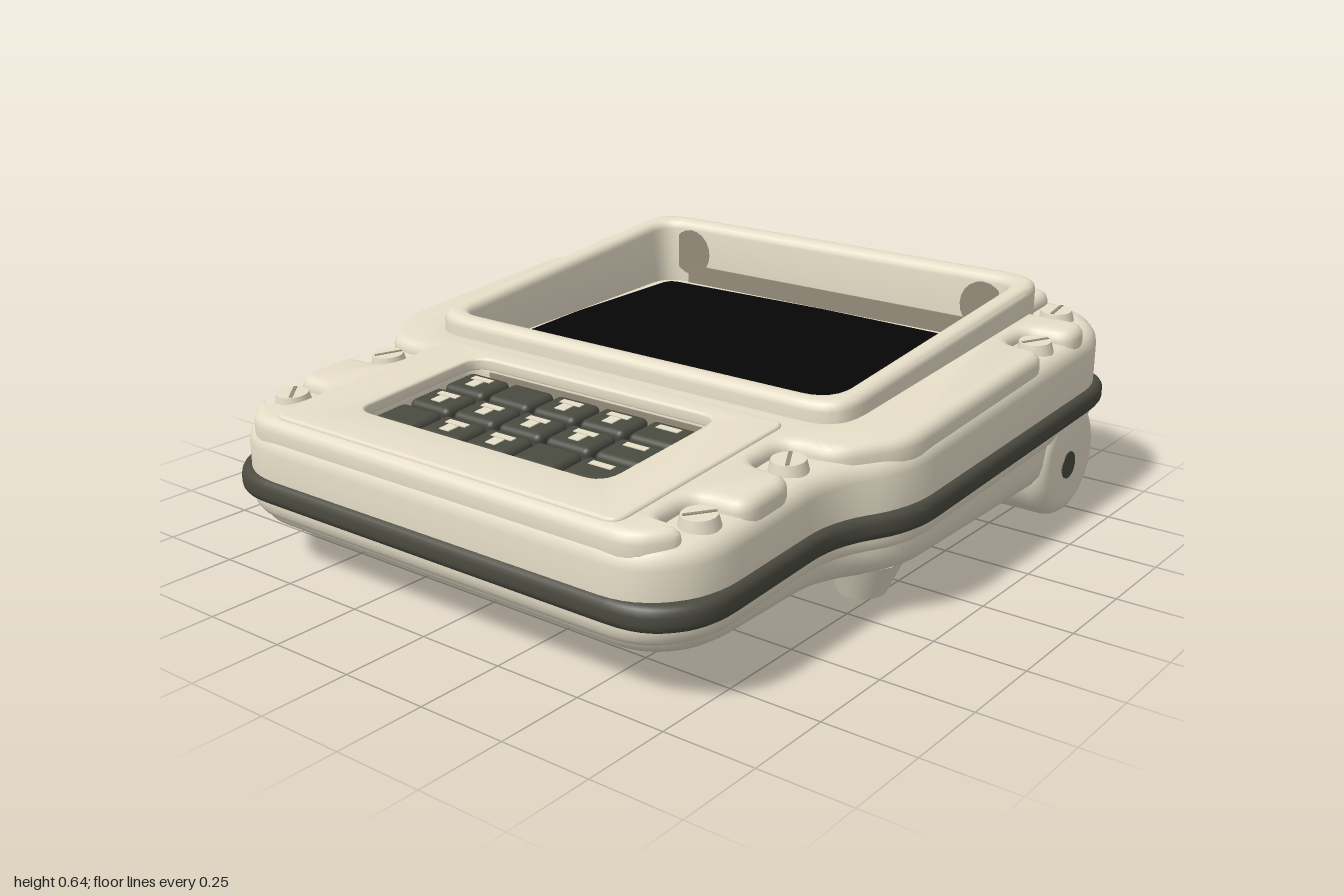
import * as THREE from 'three';
import { toCreasedNormals } from 'three/addons/utils/BufferGeometryUtils.js';
import { RoundedBoxGeometry } from 'three/addons/geometries/RoundedBoxGeometry.js';

const paint = (name, color) => {
  const m = new THREE.MeshStandardMaterial({ color });
  m.name = name;
  return m;
};

// Sloping reference surfaces of the case
const top = z => 0.505 - 0.073 * z;
const seam = z => 0.29 - 0.052 * z;
const bezelTop = z => 0.565 - 0.1 * z;
const screenTop = z => 0.43 - 0.03 * z;
const tilt = Math.atan(0.073);

// Rounded closed path through [x, z] points
function trace(path, pts, r) {
  const v = pts.map(([x, z]) => new THREE.Vector2(x, -z));
  const n = v.length;
  v.forEach((p, i) => {
    const a = v[(i + n - 1) % n], b = v[(i + 1) % n];
    const toward = q => p.clone().lerp(q, Math.min(r / p.distanceTo(q), 0.45));
    const s = toward(a), e = toward(b);
    if (i === 0) path.moveTo(s.x, s.y); else path.lineTo(s.x, s.y);
    path.quadraticCurveTo(p.x, p.y, e.x, e.y);
  });
  path.closePath();
  return path;
}

const mirrored = half => [...half, ...half.map(([x, z]) => [-x, z]).reverse()];
const rect = (x, z0, z1) => mirrored([[x, z0], [x, z1]]);

// Bevelled plate between two sloping surfaces; holes run opposite to the outline
function slab(outline, r, holes, holeR, bevel, low, high) {
  const shape = trace(new THREE.Shape(), outline, r);
  shape.holes = holes.map(h => trace(new THREE.Path(), [...h].reverse(), holeR));
  const g = new THREE.ExtrudeGeometry(shape, {
    depth: 1 - 2 * bevel, bevelThickness: bevel, bevelSize: bevel,
    bevelOffset: -bevel, bevelSegments: 4, curveSegments: 6,
  });
  g.translate(0, 0, bevel).rotateX(-Math.PI / 2);
  const p = g.attributes.position;
  for (let i = 0; i < p.count; i++) {
    const v = p.getY(i), z = p.getZ(i);
    p.setY(i, v < 0.5 ? low(z) + v : high(z) - (1 - v));
  }
  return toCreasedNormals(g, 0.5);
}

// Rounded drum lying along x
function drum(radius, length, round) {
  const pts = [new THREE.Vector2(0, -length / 2)];
  for (const s of [-1, 1]) {
    for (let i = 0; i <= 5; i++) {
      const a = (s < 0 ? i : 5 - i) / 5 * Math.PI / 2;
      pts.push(new THREE.Vector2(radius - round * (1 - Math.sin(a)), s * (length / 2 - round * (1 - Math.cos(a)))));
    }
  }
  pts.push(new THREE.Vector2(0, length / 2));
  return toCreasedNormals(new THREE.LatheGeometry(pts, 32), 0.6).rotateZ(Math.PI / 2);
}

export function createModel() {
  const group = new THREE.Group();
  const beige = paint('case beige', 0xe4dcc6);
  const rubber = paint('dark rubber', 0x4a4a40);
  const keyGrey = paint('key grey', 0x48493f);
  const black = paint('screen black', 0x060607);
  const taupe = paint('taupe', 0x948b79);

  const add = (name, geo, mat, x = 0, y = 0, z = 0, rx = 0, ry = 0, rz = 0) => {
    const m = new THREE.Mesh(geo, mat);
    m.name = name;
    m.position.set(x, y, z);
    m.rotation.set(rx, ry, rz);
    group.add(m);
  };

  const outline = (d, back = -1) => mirrored([
    [0.75 + d, back], [0.9 + d, back + 0.15], [0.9 + d, 0.2],
    [0.78 + d, 0.38], [0.78 + d, 0.86 + d], [0.66 + d, 0.99 + d],
  ]);
  const screenHole = rect(0.645, -0.785, 0.19);
  const wideScreenHole = rect(0.67, -0.81, 0.22);
  const keyHole = rect(0.42, 0.355, 0.805);

  // Case halves and the rubber seal between them
  add('upperShell', slab(outline(-0.005), 0.1, [wideScreenHole, keyHole], 0.06, 0.05,
    z => seam(z) - 0.09, z => top(z) - 0.036), beige);
  add('lowerShell', slab(outline(-0.015, -0.985), 0.1, [], 0, 0.08,
    () => 0.118, z => seam(z) + 0.05), beige);
  add('rubberSeal', slab(mirrored([[0.78, -0.93], [0.85, -0.93], [0.915, -0.85], [0.915, 0.2],
    [0.795, 0.38], [0.795, 0.88], [0.68, 1]]), 0.1, [], 0, 0.025,
    z => seam(z) - 0.035, z => seam(z) + 0.035), rubber);

  // Top deck, notched around the bolts and at the back
  add('topDeck', slab(mirrored([
    [0.4, -0.985], [0.4, -0.83], [0.46, -0.83], [0.46, -0.985],
    [0.67, -0.985], [0.67, -0.77], [0.885, -0.77], [0.885, -0.65],
    [0.75, -0.65], [0.75, -0.51], [0.885, -0.51], [0.885, 0.19], [0.765, 0.36],
    [0.62, 0.36], [0.62, 0.52], [0.765, 0.52], [0.765, 0.72],
    [0.62, 0.72], [0.62, 0.87], [0.73, 0.87], [0.64, 0.975],
  ]), 0.06, [wideScreenHole, keyHole], 0.06, 0.03, z => top(z) - 0.1, top), beige);
  add('frontPanel', slab(rect(0.58, 0.29, 0.95), 0.04, [keyHole], 0.06, 0.008,
    z => top(z) - 0.03, z => top(z) + 0.008), beige);

  // Raised bezel, sunken screen and its surround
  add('screenBezel', slab(mirrored([[0.64, -0.85], [0.71, -0.8], [0.71, 0.2], [0.64, 0.25]]),
    0.08, [screenHole], 0.08, 0.025, z => screenTop(z) - 0.06, bezelTop), beige);
  add('screenFloor', slab(rect(0.68, -0.82, 0.23), 0.03, [], 0, 0.005,
    z => screenTop(z) - 0.07, z => screenTop(z) - 0.012), beige);
  add('screen', slab(mirrored([[0, -0.75], [0.595, -0.735], [0.62, -0.3], [0.605, 0.145], [0, 0.165]]),
    0.04, [], 0, 0.004, z => screenTop(z) - 0.03, screenTop), black);
  add('surroundShade', new THREE.BoxGeometry(1.1, 0.06, 0.006), taupe, 0, 0.472, -0.783);

  // Keypad
  add('keypadFloor', slab(rect(0.45, 0.33, 0.83), 0.03, [], 0, 0.005,
    z => top(z) - 0.1, z => top(z) - 0.06), beige);
  add('keypadShade', new THREE.BoxGeometry(0.74, 0.03, 0.006), taupe, 0, top(0.36) - 0.045, 0.357);
  const keyGeo = new RoundedBoxGeometry(0.146, 0.06, 0.116, 3, 0.018);
  const wideMark = new THREE.BoxGeometry(0.07, 0.004, 0.02);
  const smallMark = new THREE.BoxGeometry(0.034, 0.004, 0.036);
  for (let row = 0; row < 3; row++) {
    for (let col = 0; col < 5; col++) {
      const x = (col - 2) * 0.162 - 0.005, z = 0.45 + row * 0.13;
      add('key', keyGeo, keyGrey, x, top(z) - 0.05, z, tilt);
      if ([1, 10, 13].includes(row * 5 + col)) continue;
      const y = zz => top(zz) - 0.0195;
      add('keyMark', wideMark, beige, x, y(z - 0.02), z - 0.02, tilt);
      if (col < 4) add('keyMark', smallMark, beige, x, y(z + 0.012), z + 0.012, tilt);
    }
  }

  // Parts repeated on both sides
  const boltGeo = toCreasedNormals(new THREE.CylinderGeometry(0.044, 0.056, 0.05, 20), 0.6);
  const slotGeo = new THREE.BoxGeometry(0.01, 0.004, 0.08);
  const discGeo = new THREE.CylinderGeometry(0.04, 0.04, 0.008, 20);
  const footGeo = drum(0.175, 0.27, 0.05);
  const middleFootGeo = toCreasedNormals(new THREE.CylinderGeometry(0.11, 0.065, 0.1, 20), 0.6);
  const padGeo = new RoundedBoxGeometry(0.17, 0.03, 0.3, 3, 0.012);
  const patchGeo = new THREE.CircleGeometry(0.075, 20);
  const bolts = [[0.75, -0.84, 0.1], [0.815, -0.58, -0.6], [0.69, 0.44, 0.5], [0.69, 0.79, -0.7]];
  for (const s of [1, -1]) {
    for (const [x, z, turn] of bolts) {
      add('bolt', boltGeo, beige, s * x, top(z) - 0.033, z, tilt);
      add('boltSlot', slotGeo, taupe, s * x, top(z) - 0.008, z, tilt, turn * s);
    }
    add('rearFoot', footGeo, beige, s * 0.76, 0.178, -0.69);
    add('footSocket', discGeo, rubber, s * 0.894, 0.16, -0.68, 0, 0, Math.PI / 2);
    add('middleFoot', middleFootGeo, beige, s * 0.74, 0.09, 0.17);
    add('sidePad', padGeo, beige, s * 0.74, 0.117, -0.2);
    add('rearSocket', discGeo, rubber, s * 0.45, 0.34, -0.998, Math.PI / 2);
    add('rearNotchFloor', new THREE.BoxGeometry(0.05, 0.008, 0.05), taupe,
      s * 0.43, top(-0.86) - 0.035, -0.86, tilt);
    add('cornerPatch', patchGeo, taupe, s * 0.54, 0.545, -0.782);
  }

  // Underside cover plates
  add('batteryCover', new RoundedBoxGeometry(1.1, 0.03, 0.62, 2, 0.01), beige, 0, 0.126, -0.4);
  add('frontCover', new RoundedBoxGeometry(1.16, 0.03, 0.7, 2, 0.01), beige, 0, 0.127, 0.42);
  add('coverRidge', new RoundedBoxGeometry(0.8, 0.03, 0.04, 2, 0.01), beige, 0, 0.12, -0.04);
  add('coverLatch', new THREE.BoxGeometry(0.22, 0.008, 0.04), taupe, 0, 0.111, 0.2);

  return group;
}
